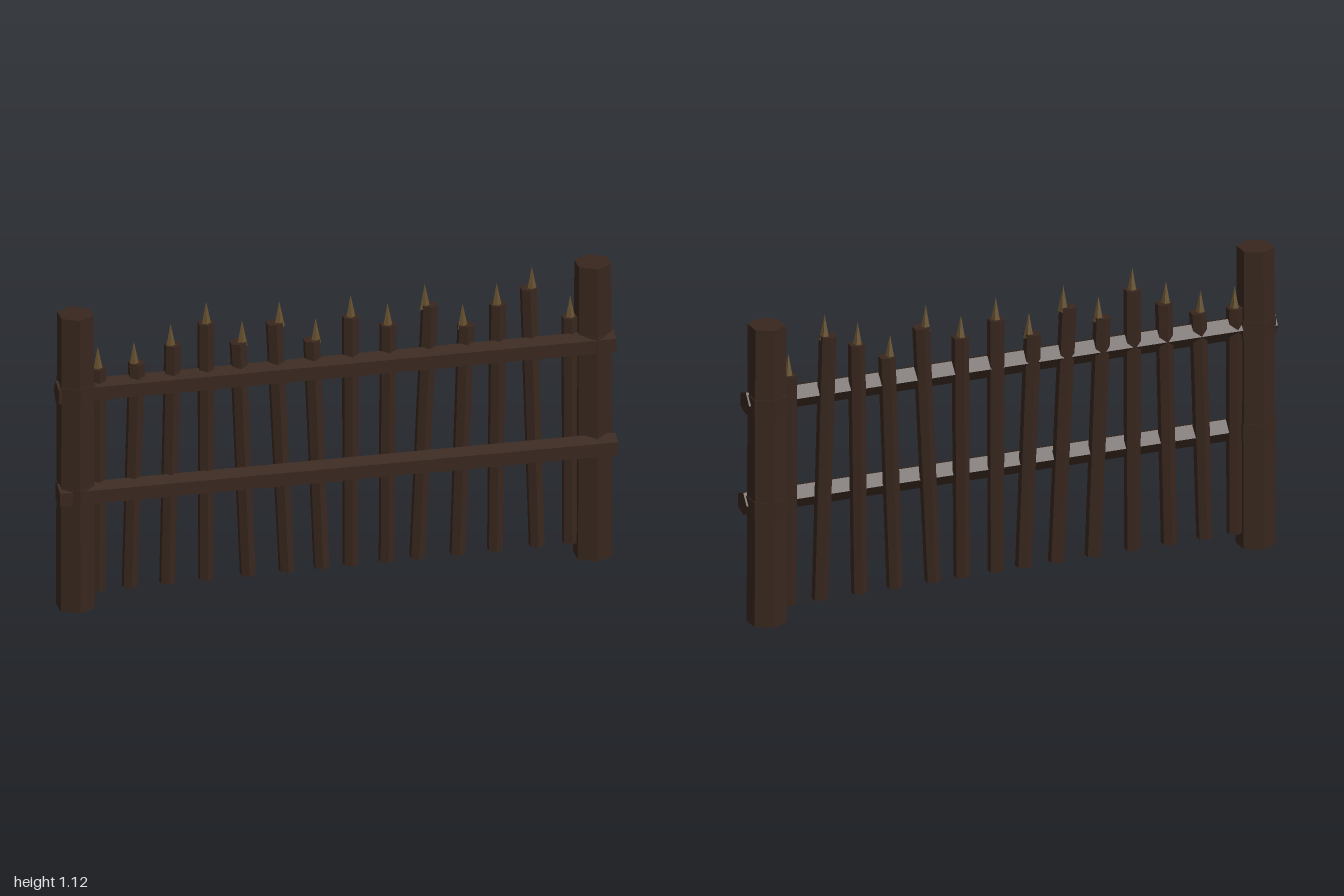
import * as THREE from 'three';

const wood = new THREE.MeshStandardMaterial({ color: 0x38271e, flatShading: true });
const spikeMat = new THREE.MeshStandardMaterial({ color: 0x66502f, flatShading: true });
const UP = new THREE.Vector3(0, 1, 0);

// Straight faceted pole from point a to point b
function pole(name, a, b, r0, r1, sides, turn = 0, material = wood) {
  const from = new THREE.Vector3(...a), to = new THREE.Vector3(...b);
  const dir = to.clone().sub(from);
  const geo = new THREE.CylinderGeometry(r1, r0, dir.length(), sides, 1, false, turn);
  const mesh = new THREE.Mesh(geo, material);
  mesh.position.copy(from).add(to).multiplyScalar(0.5);
  mesh.quaternion.setFromUnitVectors(UP, dir.normalize());
  mesh.name = name;
  return mesh;
}

export function createModel() {
  const fence = new THREE.Group();
  fence.name = 'palisadeFence';

  // End posts, with a shallow band where each rail is fixed
  for (const side of [-1, 1]) {
    const x = side * 0.931, z = -0.012;
    const post = new THREE.Group();
    post.name = side > 0 ? 'leftPost' : 'rightPost';
    post.add(pole('postShaft', [x, 0, z], [x, 1.115, z], 0.071, 0.067, 6));
    for (const y of [0.435, 0.82]) {
      post.add(pole('postBand', [x, y - 0.033, z], [x, y + 0.033, z], 0.0725, 0.0725, 6));
    }
    fence.add(post);
  }

  // Two rails, running slightly askew across the front of the pickets
  fence.add(pole('upperRail', [-1, 0.82, -0.008], [1, 0.82, 0.025], 0.043, 0.043, 5, Math.PI));
  fence.add(pole('lowerRail', [-1, 0.435, 0.012], [1, 0.435, 0.047], 0.043, 0.043, 5, Math.PI));

  // Pickets: bottom x, top x, top y
  const pickets = [
    [-0.85, -0.85, 0.9], [-0.735, -0.71, 0.905], [-0.6, -0.58, 0.96], [-0.46, -0.46, 1.03],
    [-0.31, -0.345, 0.945], [-0.17, -0.215, 1.005], [-0.045, -0.08, 0.925], [0.06, 0.06, 1.0],
    [0.19, 0.195, 0.955], [0.3, 0.345, 1.015], [0.445, 0.475, 0.925], [0.58, 0.59, 0.99],
    [0.73, 0.7, 1.04], [0.85, 0.85, 0.915],
  ];
  const z = -0.015;
  for (const [x0, x1, top] of pickets) {
    const picket = new THREE.Group();
    picket.name = 'picket';
    picket.add(pole('picketShaft', [x0, 0.055, z], [x1, top, z], 0.029, 0.031, 6));
    // Upright spike, set a little back from the lean
    const xs = x1 + (x0 - x1) * 0.4;
    picket.add(pole('picketSpike', [xs, top - 0.015, z], [xs, top + 0.08, z], 0.02, 0, 5, 0, spikeMat));
    fence.add(picket);
  }
  return fence;
}
